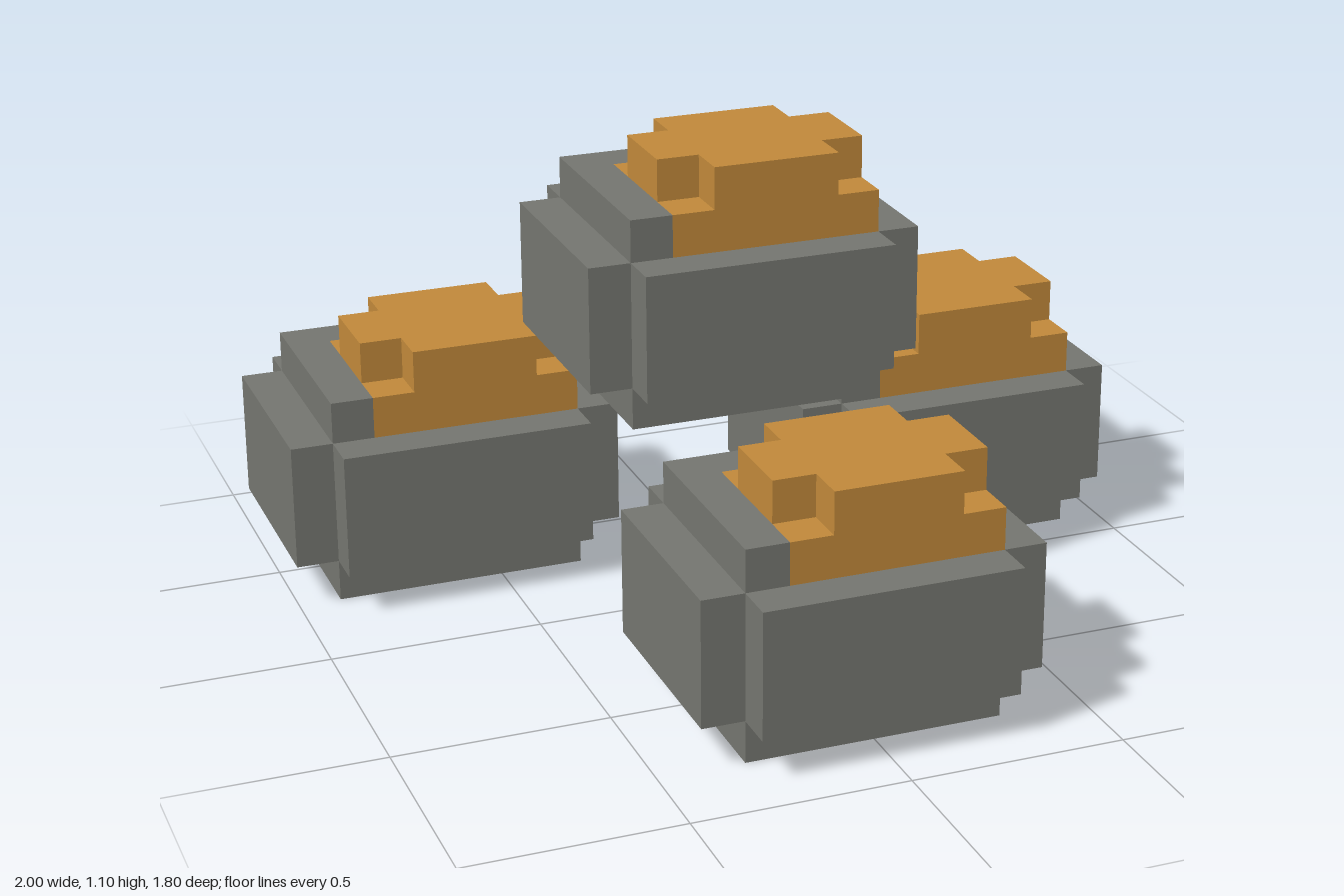
import * as THREE from 'three';

const stone = new THREE.MeshStandardMaterial({ color: 0x74756f });
stone.name = 'stone grey';
const ochre = new THREE.MeshStandardMaterial({ color: 0xc0883a });
ochre.name = 'ochre';

// Upright slab from an [x, z] outline between two heights
function slab(name, material, outline, y0, y1) {
  const shape = new THREE.Shape(outline.map(([x, z]) => new THREE.Vector2(x, -z)));
  const geometry = new THREE.ExtrudeGeometry(shape, { depth: y1 - y0, bevelEnabled: false });
  geometry.rotateX(-Math.PI / 2).translate(0, y0, 0);
  const mesh = new THREE.Mesh(geometry, material);
  mesh.name = name;
  return mesh;
}

const rect = (x0, x1, z0, z1) => [[x0, z0], [x1, z0], [x1, z1], [x0, z1]];

// Rectangle with a square notch of size n cut from each corner
const notched = (x0, x1, z0, z1, n) => [
  [x0 + n, z0], [x1 - n, z0], [x1 - n, z0 + n], [x1, z0 + n],
  [x1, z1 - n], [x1 - n, z1 - n], [x1 - n, z1], [x0 + n, z1],
  [x0 + n, z1 - n], [x0, z1 - n], [x0, z0 + n], [x0 + n, z0 + n],
];

// One blocky pebble with its coloured cap, centred on its own axis
function createPebble(name) {
  const pebble = new THREE.Group();
  pebble.name = name;
  pebble.add(
    slab('base', stone, rect(-0.3, 0.3, -0.25, 0.25), 0, 0.1),
    slab('body', stone, notched(-0.4, 0.4, -0.35, 0.35, 0.1), 0.1, 0.4),
    // L-shaped rim along the back and the -x side
    slab('rim', stone, [[-0.3, -0.25], [0.3, -0.25], [0.3, -0.15],
      [-0.2, -0.15], [-0.2, 0.25], [-0.3, 0.25]], 0.4, 0.5),
    slab('capBase', ochre, rect(-0.2, 0.3, -0.15, 0.25), 0.4, 0.5),
    slab('capTop', ochre, notched(-0.2, 0.3, -0.15, 0.25, 0.1), 0.5, 0.6),
  );
  return pebble;
}

export function createModel() {
  const model = new THREE.Group();
  model.name = 'pebblePile';
  const places = {
    frontPebble: [0, 0, 0.55],
    leftPebble: [0.6, 0, -0.35],
    rightPebble: [-0.6, 0, -0.55],
    topPebble: [0, 0.5, -0.15],
  };
  for (const [name, position] of Object.entries(places)) {
    const pebble = createPebble(name);
    pebble.position.set(...position);
    model.add(pebble);
  }
  return model;
}
